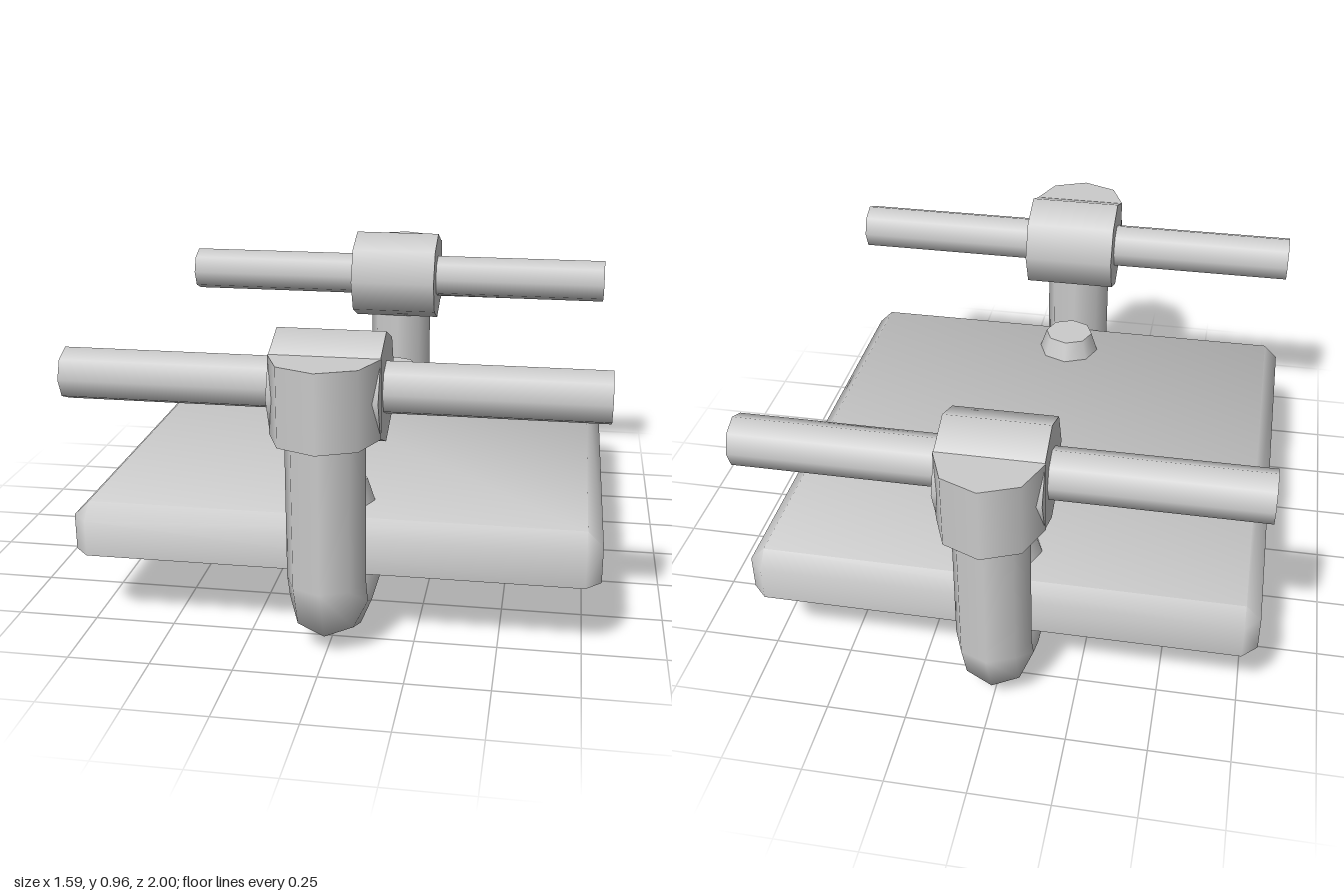
import * as THREE from 'three';
import { toCreasedNormals } from 'three/addons/utils/BufferGeometryUtils.js';
import { ConvexGeometry } from 'three/addons/geometries/ConvexGeometry.js';

const SIDES = 8;
const PIPE_R = 0.1175;  // pipe radius, also the radius of the elbow
const BEND_Z = 0.72;    // centre of the elbow, also the axle of the bar
const BEND_Y = 0.237;
const BAR_Y = 0.795;
const POST_Z = BEND_Z + PIPE_R;

export function createModel() {
  const model = new THREE.Group();
  model.name = 'pedal';
  const material = new THREE.MeshStandardMaterial({ color: 0xcccccc });

  function add(parent, name, geometry, x, y, z) {
    const mesh = new THREE.Mesh(geometry, material);
    mesh.name = name;
    mesh.position.set(x, y, z);
    parent.add(mesh);
    return mesh;
  }
  const rod = (rTop, rBottom, length) => new THREE.CylinderGeometry(rTop, rBottom, length, SIDES);

  // Plate with cut corners and a bevelled upper rim
  const X = 0.797, Z = 0.795, CUT = 0.047, BOTTOM = 0.237, TOP = 0.397;
  const corners = [];
  for (const sx of [-1, 1]) {
    for (const sz of [-1, 1]) {
      for (const y of [BOTTOM, TOP - CUT]) {
        corners.push(new THREE.Vector3(sx * X, y, sz * (Z - CUT)));
        corners.push(new THREE.Vector3(sx * (X - CUT), y, sz * Z));
      }
      corners.push(new THREE.Vector3(sx * (X - CUT), TOP, sz * (Z - CUT)));
    }
  }
  add(model, 'plate', toCreasedNormals(new ConvexGeometry(corners), Math.PI / 3), 0, 0, 0);

  // Straight pipe under the plate
  add(model, 'lowerPipe', rod(PIPE_R, PIPE_R, BEND_Z * 2).rotateX(Math.PI / 2), 0, BEND_Y - PIPE_R, 0);

  // Everything at one end, turned round for the other
  for (const [name, turn] of [['frontEnd', 0], ['backEnd', Math.PI]]) {
    const end = new THREE.Group();
    end.name = name;
    end.rotation.y = turn;
    model.add(end);

    // Elbow and upright post
    const elbow = new THREE.TorusGeometry(PIPE_R, PIPE_R, SIDES, 2, Math.PI / 2);
    elbow.rotateX(Math.PI).rotateY(-Math.PI / 2);
    add(end, 'elbow', elbow, 0, BEND_Y, BEND_Z);
    const postTop = 0.72;
    add(end, 'post', rod(PIPE_R, PIPE_R, postTop - BEND_Y), 0, (postTop + BEND_Y) / 2, POST_Z);

    // Collar on the post, joined to the sleeve that holds the bar
    add(end, 'collar', rod(0.161, 0.161, 0.234), 0, BAR_Y, POST_Z);
    add(end, 'sleeve', rod(0.165, 0.165, 0.317).rotateZ(Math.PI / 2), 0, BAR_Y, BEND_Z);
    add(end, 'bar', rod(0.079, 0.079, X * 2).rotateZ(Math.PI / 2), 0, BAR_Y, BEND_Z);

    // Bolt head on the plate
    add(end, 'bolt', rod(0.087, 0.112, 0.075), 0, TOP + 0.032, 0.607);
  }
  return model;
}
